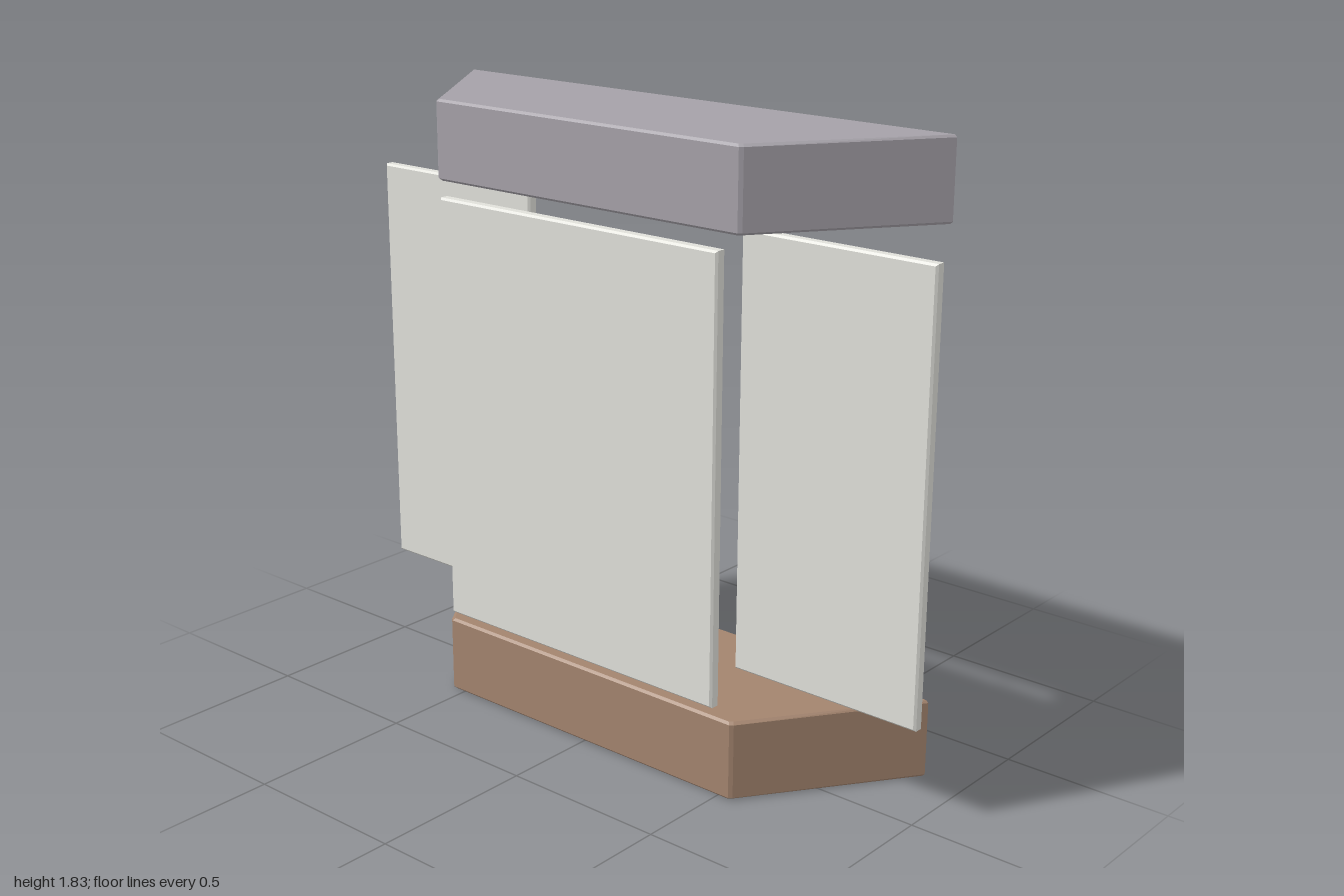
import * as THREE from 'three';

const mat = (color, side = THREE.FrontSide) =>
  new THREE.MeshStandardMaterial({ color, side, flatShading: true });

function add(parent, name, geometry, material, x = 0, y = 0, z = 0) {
  const mesh = new THREE.Mesh(geometry, material);
  mesh.name = name;
  mesh.position.set(x, y, z);
  parent.add(mesh);
  return mesh;
}

// Flat board with small chamfers on its front and back edges, centred
function boardGeometry(w, h, d, b = 0.006) {
  const x = w / 2 - b, y = h / 2 - b;
  const shape = new THREE.Shape([
    new THREE.Vector2(-x, -y), new THREE.Vector2(x, -y),
    new THREE.Vector2(x, y), new THREE.Vector2(-x, y),
  ]);
  const g = new THREE.ExtrudeGeometry(shape, {
    depth: d - 2 * b, bevelThickness: b, bevelSize: b, bevelSegments: 1,
  });
  return g.translate(0, 0, b - d / 2);
}

// Hollow bay shell: chamfered trapezoid with top and bottom, open at the back
function bayShellGeometry(y0, y1, b = 0.007) {
  const outline = (i) => [
    [-0.875 + i, -0.255], [-0.55 + i, 0.21 - i], [-0.54 + i, 0.218 - i],
    [0.54 - i, 0.218 - i], [0.55 - i, 0.21 - i], [0.875 - i, -0.255],
  ];
  const layers = [[y0, b], [y0 + b, 0], [y1 - b, 0], [y1, b]];
  const pos = [], index = [], n = 6;
  for (const [y, inset] of layers) {
    for (const [x, z] of outline(inset)) pos.push(x, y, z);
  }
  for (let l = 0; l < layers.length - 1; l++) {
    for (let i = 0; i < n - 1; i++) {
      const a = l * n + i, c = a + n;
      index.push(a, a + 1, c + 1, a, c + 1, c);
    }
  }
  const top = (layers.length - 1) * n;
  for (let i = 1; i < n - 1; i++) {
    index.push(0, i + 1, i);
    index.push(top, top + i, top + i + 1);
  }
  const g = new THREE.BufferGeometry();
  g.setAttribute('position', new THREE.Float32BufferAttribute(pos, 3));
  g.setIndex(index);
  const flat = g.toNonIndexed();
  flat.computeVertexNormals();
  return flat;
}

export function createModel() {
  const model = new THREE.Group();
  model.name = 'bayWindow';
  const white = mat(0xe0e0da);
  const midY = 0.917, height = 1.275;

  // Roof and base shells
  add(model, 'roof', bayShellGeometry(1.593, 1.826), mat(0xa5a1a8, THREE.DoubleSide));
  add(model, 'base', bayShellGeometry(0, 0.236), mat(0xa3846e, THREE.DoubleSide));

  // Side panels
  for (const s of [1, -1]) {
    add(model, s > 0 ? 'leftPanel' : 'rightPanel',
      boardGeometry(0.61, height, 0.035), white, s * 0.695, midY, -0.011);
  }

  // Front panel, with glass and glazing bars on its inner face
  const front = new THREE.Group();
  front.name = 'frontWindow';
  front.position.set(0, midY, 0);
  model.add(front);
  add(front, 'frontPanel', boardGeometry(1.006, height, 0.036), white, 0, 0, 0.235);
  add(front, 'glass', new THREE.BoxGeometry(0.88, 1.145, 0.012), mat(0xa0b8c2), 0, 0, 0.214);
  add(front, 'horizontalBar', new THREE.BoxGeometry(0.88, 0.018, 0.012), white, 0, 0, 0.213);
  add(front, 'verticalBar', new THREE.BoxGeometry(0.014, 1.145, 0.012), white, 0, 0, 0.2135);
  return model;
}
